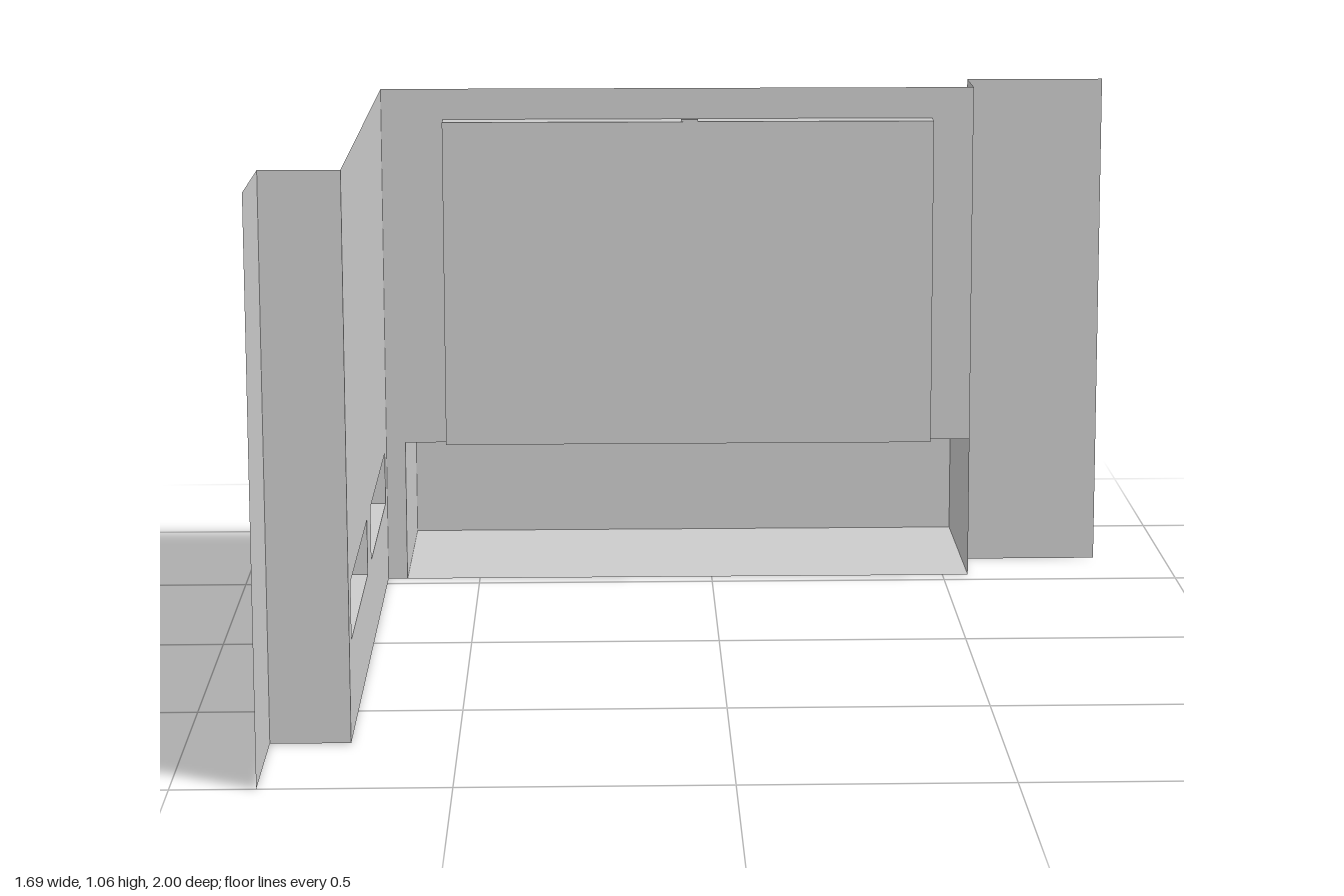
import * as THREE from 'three';

const H = 1.06;                                    // wall height
const WX = -0.697, EX = 0.555, BZ = -0.544, SZ = 0.715; // side wall, end corner, back wall, step
const material = new THREE.MeshStandardMaterial({ color: 0xcccccc, flatShading: true, side: THREE.DoubleSide });

function createMesh(name, geometry) {
  const mesh = new THREE.Mesh(geometry, material);
  mesh.name = name;
  return mesh;
}

// Upright sheet from an outline with rectangular openings [u0, v0, u1, v1]
function sheet(name, outline, openings = []) {
  const points = (list) => list.map(([u, v]) => new THREE.Vector2(u, v));
  const shape = new THREE.Shape(points(outline));
  for (const [u0, v0, u1, v1] of openings) {
    shape.holes.push(new THREE.Path(points([[u0, v0], [u0, v1], [u1, v1], [u1, v0]])));
  }
  return createMesh(name, new THREE.ShapeGeometry(shape));
}

const rect = (u0, u1) => [[u0, 0], [u1, 0], [u1, H], [u0, H]];

// Sheet facing along z
function sheetZ(name, z, outline, openings) {
  const m = sheet(name, outline, openings);
  m.position.z = z;
  return m;
}

// Sheet facing along x, outline given in z and y
function sheetX(name, x, outline, openings) {
  const m = sheet(name, outline, openings);
  m.rotation.y = -Math.PI / 2;
  m.position.x = x;
  return m;
}

// Box between two corners; openFace drops one side (0..5 = +x -x +y -y +z -z)
function box(name, a, b, openFace = -1) {
  const g = new THREE.BoxGeometry(b[0] - a[0], b[1] - a[1], b[2] - a[2]);
  if (openFace >= 0) {
    g.setIndex(Array.from(g.index.array).filter((_, i) => Math.floor(i / 6) !== openFace));
    g.clearGroups();
  }
  g.translate((a[0] + b[0]) / 2, (a[1] + b[1]) / 2, (a[2] + b[2]) / 2);
  return createMesh(name, g);
}

export function createModel() {
  const model = new THREE.Group();
  model.name = 'roomCorner';

  // Side wall with two low niches, stepping outwards at the front end
  const niches = [[-0.482, 0.035], [0.153, 0.656]];
  const y0 = 0.18, y1 = 0.29;
  model.add(
    sheetX('sideWall', WX, rect(BZ, SZ), niches.map(([z0, z1]) => [z0, y0, z1, y1])),
    sheetZ('sideWallStep', SZ, rect(-0.846, WX)),
    sheetX('sideWallEnd', -0.846, rect(SZ, 1))
  );
  for (const [z0, z1] of niches) {
    model.add(box('wallNiche', [-0.837, y0, z0], [WX, y1, z1], 0));
  }

  // Back wall with a window opening and a low alcove opening
  const ax = -0.656, ay = 0.3;
  const win = [-0.567, 0.305, 0.467, 0.995];
  model.add(
    sheetZ('backWall', BZ, [[WX, 0], [ax, 0], [ax, ay], [EX, ay], [EX, H], [WX, H]], [win]),
    sheetX('backWallStep', EX, rect(-0.692, BZ)),
    sheetZ('backWallEnd', -0.692, rect(EX, 0.846))
  );

  // Alcove, open towards the room
  model.add(box('alcove', [ax, 0, -1], [EX, ay, BZ], 4));

  // Window panel standing proud of the wall, hollow behind, with a centre post
  model.add(
    box('windowPanel', [win[0], win[1], BZ], [win[2], win[3], -0.491], 5),
    box('windowPost', [-0.065, 0.303, -0.516], [-0.03, 0.999, -0.493])
  );

  return model;
}
